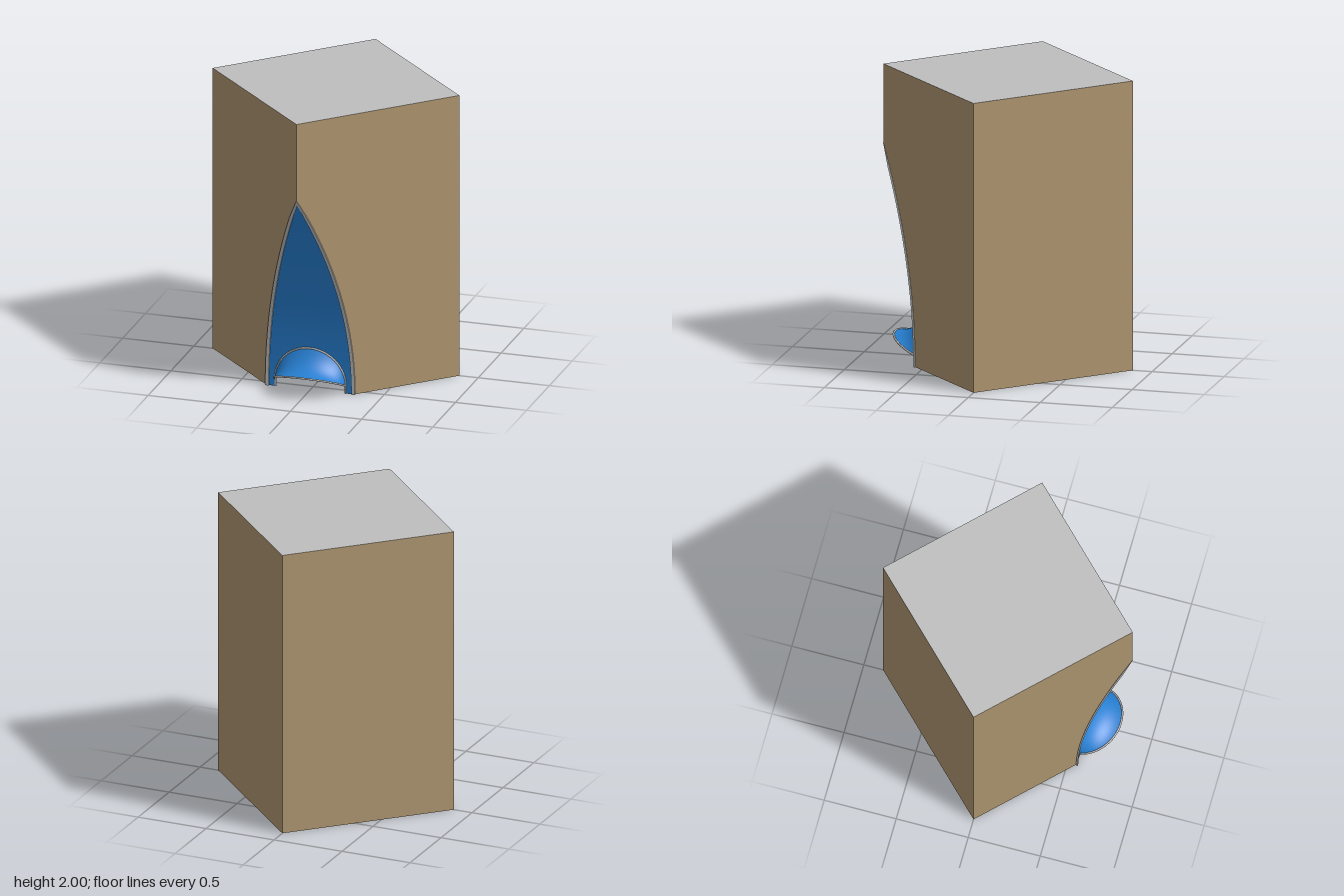
import * as THREE from 'three';

const R = 0.867;            // half diagonal of the square tower
const H = 2;                // tower height
const APEX = 1.455;         // top of the concave corner cut
const HALF = 0.307;         // half width of the cut at the ground
const SPRING = 0.055, ARCH_W = 0.247, ARCH_H = 0.245;   // doorway arch

// Concave corner cut: half width and depth at height y
const halfWidth = y => Math.max(0, HALF * (1 - (y / APEX) ** 2));
const depth = y => R - halfWidth(y);
const steps = (n, f) => Array.from({ length: n + 1 }, (_, i) => f(i / n));

// Surface through rows of points; flip turns the faces round
function loft(rows, flip = false) {
  const w = rows[0].length, index = [];
  for (let j = 0; j < rows.length - 1; j++) {
    for (let i = 0; i < w - 1; i++) {
      const a = j * w + i, b = a + 1, c = a + w, d = c + 1;
      if (flip) index.push(a, c, b, b, c, d);
      else index.push(a, b, c, b, d, c);
    }
  }
  const g = new THREE.BufferGeometry();
  g.setAttribute('position', new THREE.Float32BufferAttribute(rows.flat(2), 3));
  g.setIndex(index);
  g.computeVertexNormals();
  return g;
}

export function createModel() {
  const group = new THREE.Group();
  const tan = new THREE.MeshStandardMaterial({ color: 0xae9670 });
  tan.name = 'tan wall';
  const blue = new THREE.MeshStandardMaterial({ color: 0x2780d3, side: THREE.DoubleSide });
  blue.name = 'blue lining';
  const grey = new THREE.MeshStandardMaterial({ color: 0xbebebe, side: THREE.DoubleSide });
  grey.name = 'light grey';

  const add = (name, geometry, material) => {
    const mesh = new THREE.Mesh(geometry, material);
    mesh.name = name;
    group.add(mesh);
    return mesh;
  };
  // Tan outer skin with a blue lining just inside it
  const addWall = (name, rows, flip) => {
    add(name, loft(rows, flip), tan);
    add(name + 'Lining', loft(rows, !flip), blue).scale.set(0.995, 0.998, 0.995);
  };

  const cutHeights = steps(40, t => t * APEX);
  // Rows of the cut face: the arch first, then the plain part above
  const faceRows = [
    [0, ARCH_W],
    ...steps(20, t => {
      const a = t * Math.PI / 2;
      return [SPRING + ARCH_H * Math.sin(a), ARCH_W * Math.cos(a)];
    }),
    ...steps(32, t => [0.3 + t * (APEX - 0.3), 0]).slice(1),
  ];

  for (const s of [1, -1]) {
    const side = s > 0 ? 'left' : 'right', mirrored = s < 0;

    // Front wall, trimmed along the curved cut
    const frontRows = [...cutHeights, H].map(y => {
      const w = halfWidth(y);
      return [[s * w, y, R - w], [s * R, y, 0]];
    });
    addWall(side + 'FrontWall', frontRows, mirrored);

    // Plain back wall
    addWall(side + 'BackWall', [0, H].map(y => [[s * R, y, 0], [0, y, -R]]), mirrored);

    // Half of the concave face, with the open doorway
    add(side + 'EntranceFace', loft(faceRows.map(([y, inner]) =>
      [[s * inner, y, depth(y)], [s * halfWidth(y), y, depth(y)]]), mirrored), blue);

    // Raised trim along the edge of the cut
    add(side + 'EntranceTrim', loft(cutHeights.map(y => {
      const w = halfWidth(y), z = depth(y);
      const taper = Math.min(1, (1 - y / APEX) * 10);
      const inner = s * Math.max(0, w - 0.016), outer = s * (w + 0.008 * taper);
      const front = z + 0.009 * taper + 0.002;
      return [[inner, y, z], [inner, y, front], [outer, y, front], [outer, y, z], [inner, y, z]];
    }), mirrored).toNonIndexed(), grey).geometry.computeVertexNormals();
  }

  // Roof and the ceiling beneath it
  const roofRows = [[[-R, H, 0], [0, H, R]], [[0, H, -R], [R, H, 0]]];
  add('roof', loft(roofRows), grey);
  add('ceiling', loft(roofRows, true), blue).scale.set(0.995, 0.998, 0.995);

  // Flared hood swept from the doorway arch out to its lip
  const archPoint = a => {
    const y = SPRING + ARCH_H * Math.sin(a);
    return new THREE.Vector3(ARCH_W * Math.cos(a), y, depth(y));
  };
  const lipPoint = a => new THREE.Vector3(
    ARCH_W * Math.cos(a), SPRING + 0.105 * Math.sin(a), 0.562 + 0.223 * Math.sin(a));
  const hoodRows = steps(40, t => {
    const a = t * Math.PI;
    const bend = new THREE.Vector3(
      ARCH_W * Math.cos(a), SPRING + 0.1 * Math.sin(a), 0.561 + 0.09 * Math.sin(a));
    const curve = new THREE.QuadraticBezierCurve3(archPoint(a), bend, lipPoint(a));
    return curve.getPoints(12).map(p => p.toArray());
  });
  add('hood', loft(hoodRows, true), blue);

  // Thin trims round the doorway and along the hood lip
  const tube = (name, points) => add(name,
    new THREE.TubeGeometry(new THREE.CatmullRomCurve3(points), 80, 0.007, 6), grey);
  const foot = x => new THREE.Vector3(x, 0, depth(0));
  tube('doorwayTrim', [foot(ARCH_W), ...steps(24, t => archPoint(t * Math.PI)), foot(-ARCH_W)]);
  tube('hoodLipTrim', steps(24, t => lipPoint(t * Math.PI)));

  return group;
}
